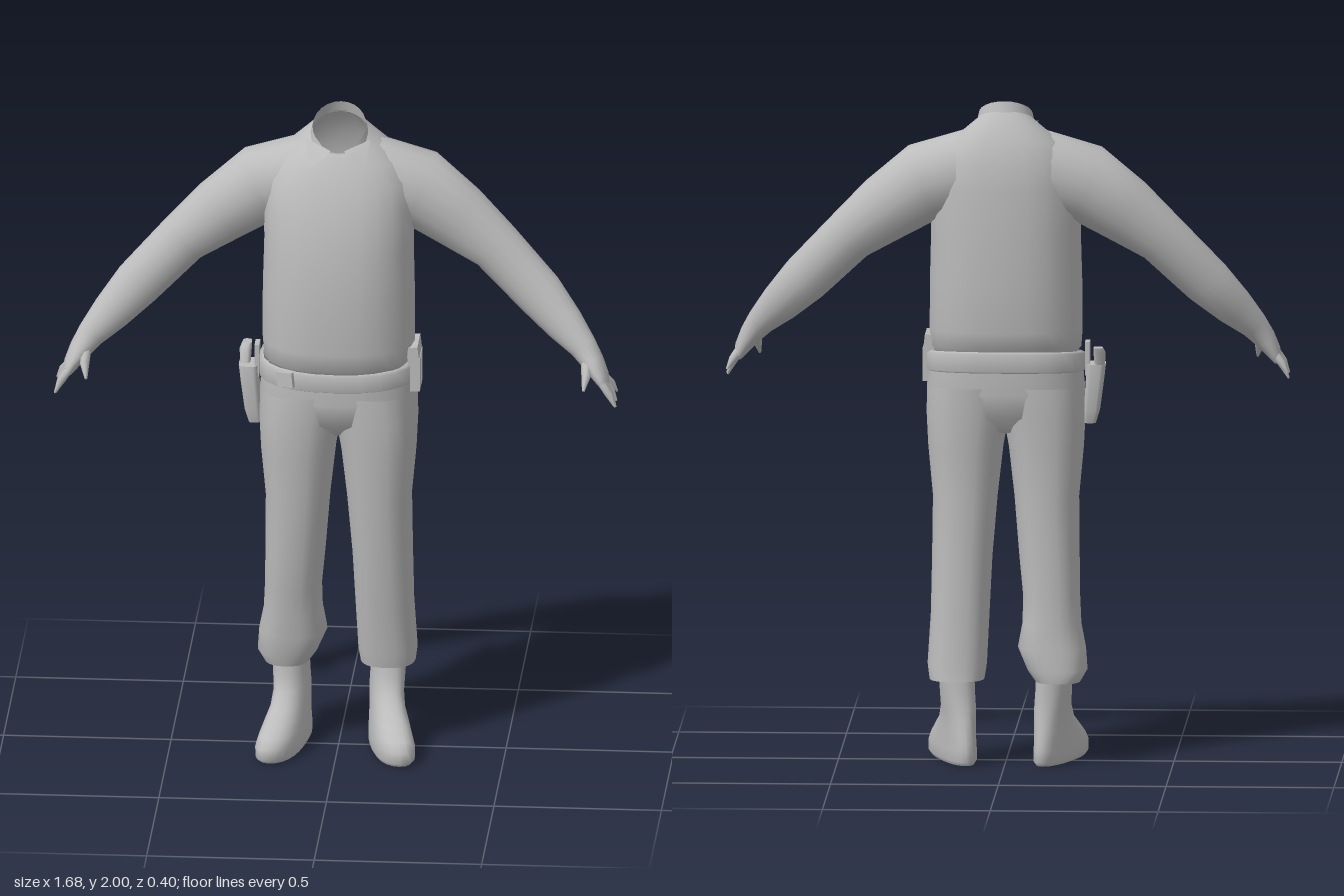
import * as THREE from 'three';

const cloth = new THREE.MeshStandardMaterial({ color: 0xbcbcbc, side: THREE.DoubleSide });
cloth.name = 'plain grey';

// Rounded horizontal ring between x0..x1 and zb..zf; its height tilts from yb (back) to yf (front)
function ring(x0, x1, zf, zb, yf, yb = yf, p = 2.4, shear = 0, taper = 0, n = 24) {
  const pw = (v) => Math.sign(v) * Math.pow(Math.abs(v), 2 / p);
  return Array.from({ length: n }, (_, i) => {
    const a = (i / n) * Math.PI * 2, sz = pw(Math.sin(a));
    const z = (zf + zb) / 2 + (sz * (zf - zb)) / 2;
    const x = (x0 + x1) / 2 + (pw(Math.cos(a)) * (x1 - x0) / 2) * (1 + taper * sz) + shear * z;
    return new THREE.Vector3(x, yb + (yf - yb) * (sz + 1) / 2, z);
  });
}

// Rings perpendicular to a path of [x, y, z, radius in the xy plane, radius across it]
function limbRings(path, n = 16) {
  const pts = path.map((p) => new THREE.Vector3(p[0], p[1], p[2]));
  return path.map((p, j) => {
    const d = pts[Math.min(j + 1, pts.length - 1)].clone().sub(pts[Math.max(j - 1, 0)]).normalize();
    const u = d.clone().cross(new THREE.Vector3(0, 0, 1)).normalize();
    const v = u.clone().cross(d);
    return Array.from({ length: n }, (_, i) => {
      const a = (i / n) * Math.PI * 2;
      return pts[j].clone().addScaledVector(u, Math.cos(a) * p[3]).addScaledVector(v, Math.sin(a) * p[4]);
    });
  });
}

// Skin over a stack of rings; side = -1 mirrors it in x
function loft(name, rings, { side = 1, capStart = false, capEnd = false } = {}) {
  const n = rings[0].length, pos = [], idx = [];
  const put = (p) => pos.push(p.x * side, p.y, p.z) / 3 - 1;
  const tri = (a, b, c) => (side > 0 ? idx.push(a, b, c) : idx.push(a, c, b));
  rings.forEach((r) => r.forEach(put));
  for (let j = 0; j < rings.length - 1; j++) {
    for (let i = 0; i < n; i++) {
      const k = (i + 1) % n, a = j * n + i, b = j * n + k;
      tri(a, a + n, b + n);
      tri(a, b + n, b);
    }
  }
  const cap = (r, end) => {
    const c = put(r.reduce((s, p) => s.add(p), new THREE.Vector3()).divideScalar(n));
    const first = r.map(put)[0];
    for (let i = 0; i < n; i++) {
      const a = first + i, b = first + (i + 1) % n;
      end ? tri(c, b, a) : tri(c, a, b);
    }
  };
  if (capStart) cap(rings[0], false);
  if (capEnd) cap(rings[rings.length - 1], true);
  const g = new THREE.BufferGeometry();
  g.setAttribute('position', new THREE.Float32BufferAttribute(pos, 3));
  g.setIndex(idx);
  g.computeVertexNormals();
  const m = new THREE.Mesh(g, cloth);
  m.name = name;
  return m;
}

function box(name, w, h, d, x, y, z, rz = 0) {
  const m = new THREE.Mesh(new THREE.BoxGeometry(w, h, d), cloth);
  m.name = name;
  m.position.set(x, y, z);
  m.rotation.z = rz;
  return m;
}

export function createModel() {
  const body = new THREE.Group();
  body.name = 'uniformedBody';

  // Shirt: half width, front z, back z, front y, back y
  const shirt = [
    [0.205, 0.13, -0.15, 1.215, 1.235], [0.224, 0.16, -0.172, 1.235, 1.265], [0.228, 0.168, -0.185, 1.29, 1.31],
    [0.227, 0.175, -0.195, 1.45, 1.45], [0.223, 0.163, -0.198, 1.6, 1.6], [0.226, 0.138, -0.197, 1.71, 1.74],
    [0.215, 0.11, -0.187, 1.79, 1.82], [0.175, 0.082, -0.168, 1.845, 1.885], [0.115, 0.06, -0.138, 1.88, 1.94],
    [0.085, 0.05, -0.115, 1.89, 1.97],
  ].map(([w, zf, zb, yf, yb]) => ring(-w, w, zf, zb, yf, yb, 2.35));
  body.add(loft('shirt', shirt, { capStart: true }));

  // Open collar band, dipping to a V at the front
  const collar = [[0.088, 0.054, -0.118, 1.875, 1.965], [0.08, 0.05, -0.108, 1.905, 2.0]]
    .map(([w, zf, zb, yf, yb]) => ring(-w, w, zf, zb, yf, yb, 2));
  collar[1].forEach((p) => { if (p.z > 0.03) p.y -= 0.012; });
  body.add(loft('collar', collar));

  // Trousers: seat
  const seat = [
    [0.11, 0.06, -0.1, 1.0], [0.225, 0.125, -0.15, 1.05], [0.236, 0.138, -0.165, 1.12], [0.228, 0.135, -0.165, 1.22],
  ].map(([w, zf, zb, y]) => ring(-w, w, zf, zb, y));
  body.add(loft('trouserSeat', seat, { capStart: true }));

  // Trouser legs: height, inner x, outer x, front z, back z
  const upperLeg = [
    [0.62, 0.04, 0.22, 0.095, -0.14], [0.8, 0.025, 0.218, 0.115, -0.14], [0.95, 0.008, 0.232, 0.13, -0.15],
    [1.05, -0.01, 0.237, 0.138, -0.16], [1.14, -0.03, 0.235, 0.138, -0.165],
  ];
  const lowerLegs = {
    left: [[0.255, 0.062, 0.226, 0.03, -0.15], [0.3, 0.055, 0.232, 0.04, -0.145], [0.45, 0.048, 0.223, 0.065, -0.14]],
    right: [[0.25, 0.09, 0.225, 0.025, -0.145], [0.285, 0.065, 0.245, 0.036, -0.15],
      [0.35, 0.037, 0.24, 0.05, -0.143], [0.42, 0.05, 0.226, 0.06, -0.14], [0.5, 0.052, 0.222, 0.075, -0.14]],
  };

  // Boots: height, inner x, outer x, front z, back z, toe flare
  const boot = [
    [0, 0.095, 0.2, 0.185, -0.13, 0.2], [0.012, 0.088, 0.208, 0.198, -0.143, 0.2], [0.045, 0.088, 0.208, 0.199, -0.142, 0.2],
    [0.07, 0.092, 0.205, 0.175, -0.138, 0.16], [0.1, 0.096, 0.202, 0.125, -0.132, 0.1], [0.13, 0.1, 0.198, 0.075, -0.125, 0.05],
    [0.17, 0.102, 0.2, 0.035, -0.118, 0], [0.22, 0.106, 0.206, 0.014, -0.114, 0], [0.29, 0.108, 0.212, 0.01, -0.115, 0],
  ].map(([y, a, b, zf, zb, t]) => ring(a, b, zf, zb, y, y, 2.3, 0.25, t));

  // Arm and hand path
  const arm = [
    [0.08, 1.79, -0.06, 0.125, 0.105], [0.24, 1.75, -0.06, 0.119, 0.104], [0.355, 1.668, -0.048, 0.102, 0.085],
    [0.467, 1.58, -0.036, 0.08, 0.067], [0.6, 1.445, -0.003, 0.074, 0.06], [0.677, 1.365, 0.035, 0.06, 0.05],
    [0.735, 1.305, 0.066, 0.043, 0.036], [0.765, 1.265, 0.085, 0.034, 0.042], [0.79, 1.225, 0.1, 0.024, 0.05],
    [0.803, 1.198, 0.105, 0.014, 0.045],
  ];

  for (const [label, side] of [['left', 1], ['right', -1]]) {
    const leg = [...lowerLegs[label], ...upperLeg].map(([y, a, b, zf, zb]) => ring(a, b, zf, zb, y));
    body.add(loft(label + 'TrouserLeg', leg, { side, capStart: true }));
    body.add(loft(label + 'Boot', boot, { side, capStart: true }));
    body.add(loft(label + 'Arm', limbRings(arm), { side, capEnd: true }));

    // Fingers fan out below the palm, thumb points forward
    const hand = new THREE.Group();
    hand.name = label + 'Fingers';
    for (let i = 0; i < 4; i++) {
      const z = 0.07 + i * 0.024, drop = [0.025, 0.008, 0, 0.012][i];
      hand.add(loft('finger', limbRings([
        [0.798, 1.215, z, 0.013, 0.013], [0.818, 1.18 + drop / 2, z + (i - 1.5) * 0.006, 0.012, 0.011],
        [0.836, 1.137 + drop, z + (i - 1.5) * 0.01, 0.003, 0.003],
      ], 8), { side, capEnd: true }));
    }
    hand.add(loft('thumb', limbRings([
      [0.75, 1.275, 0.09, 0.02, 0.02], [0.748, 1.235, 0.135, 0.014, 0.016], [0.742, 1.198, 0.162, 0.004, 0.005],
    ], 8), { side, capEnd: true }));
    body.add(hand);

    // Collar points
    const wing = new THREE.BufferGeometry();
    const q = [[0.095, 1.925, 0.015], [0.083, 1.85, 0.078], [0.035, 1.885, 0.068], [0.02, 1.9, 0.052]];
    wing.setAttribute('position', new THREE.Float32BufferAttribute(q.flatMap(([x, y, z]) => [x * side, y, z]), 3));
    wing.setIndex(side > 0 ? [0, 2, 1, 0, 3, 2] : [0, 1, 2, 0, 2, 3]);
    wing.computeVertexNormals();
    const wingMesh = new THREE.Mesh(wing, cloth);
    wingMesh.name = label + 'CollarPoint';
    body.add(wingMesh);
  }

  // Belt and buckle
  const belt = [
    [0.228, 0.135, -0.165, 1.162, 1.188], [0.238, 0.148, -0.178, 1.168, 1.194],
    [0.238, 0.148, -0.178, 1.216, 1.246], [0.226, 0.135, -0.165, 1.222, 1.252],
  ].map(([w, zf, zb, yf, yb]) => ring(-w, w, zf, zb, yf, yb));
  body.add(loft('belt', belt));
  const buckle = box('beltClasp', 0.055, 0.045, 0.012, -0.15, 1.198, 0.124, 0.1);
  buckle.rotation.y = -0.5;
  body.add(buckle);

  // Pair of pouches on the left hip
  for (const z of [0.036, -0.026]) {
    body.add(box('pouch', 0.03, 0.1, 0.056, 0.232, 1.198, z));
    body.add(box('pouchFlap', 0.034, 0.05, 0.06, 0.226, 1.262, z, 0.12));
  }

  // Holster with grip on the right hip
  const holster = [
    [-0.268, -0.232, 0.02, -0.03, 1.02], [-0.28, -0.232, 0.03, -0.045, 1.06],
    [-0.292, -0.238, 0.035, -0.055, 1.15], [-0.298, -0.24, 0.03, -0.055, 1.2],
  ].map(([a, b, zf, zb, y]) => ring(a, b, zf, zb, y, y, 4));
  body.add(loft('holster', holster, { capStart: true, capEnd: true }));
  const grip = [[-0.295, -0.265, 0.0, -0.05, 1.19], [-0.298, -0.262, -0.012, -0.07, 1.235], [-0.29, -0.262, -0.03, -0.075, 1.252]]
    .map(([a, b, zf, zb, y]) => ring(a, b, zf, zb, y, y, 3));
  body.add(loft('holsterGrip', grip, { capEnd: true }));
  body.add(box('holsterStrap', 0.014, 0.1, 0.05, -0.243, 1.215, -0.01));

  return body;
}
